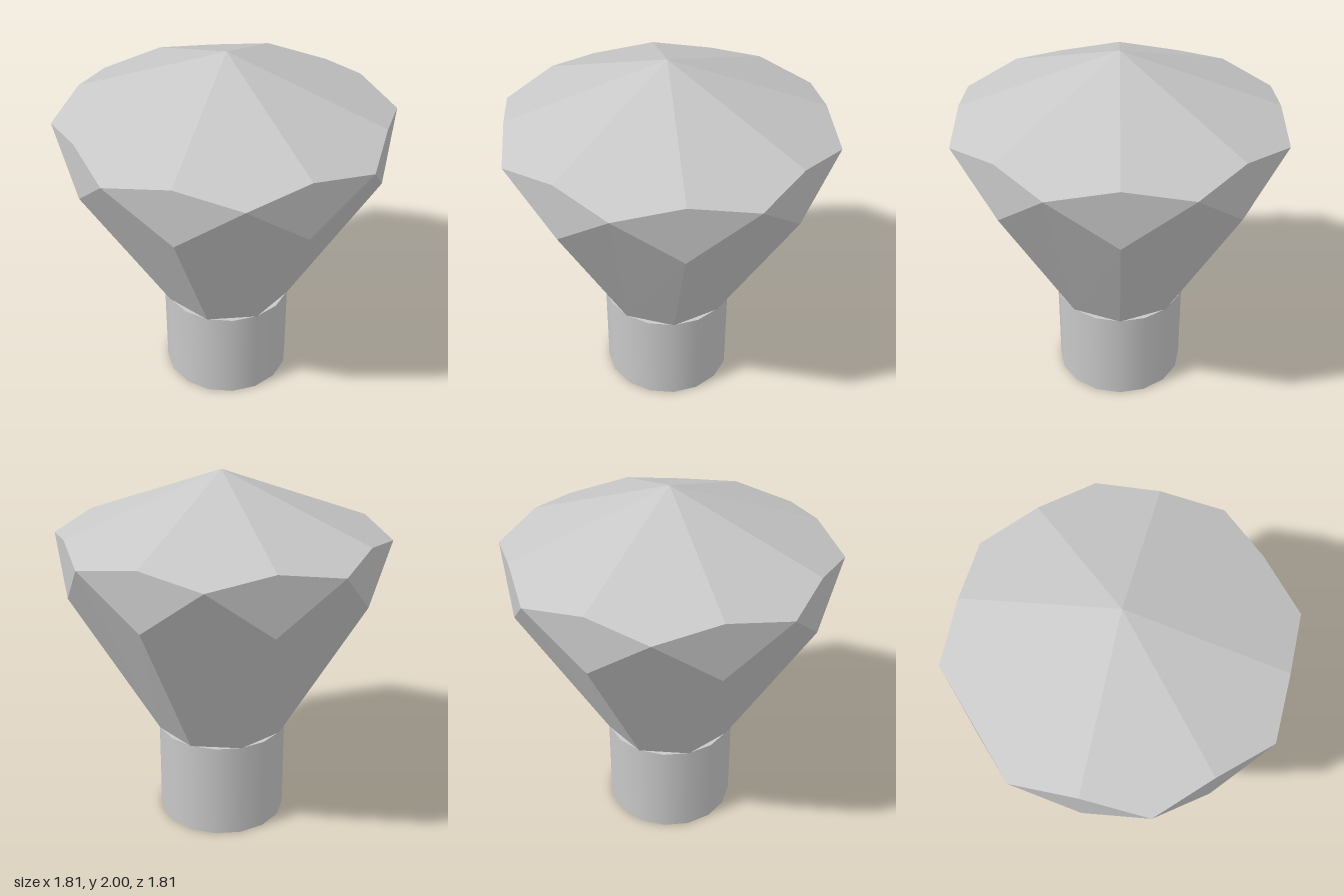
import * as THREE from 'three';

const SIDES = 8;
const STEP = (Math.PI * 2) / SIDES;

// Point on a ring; i counts eighths of a turn, half values lie between corners
const ring = (radius, y, i) => [
  radius * Math.sin(i * STEP), y, radius * Math.cos(i * STEP),
];

// Flat-shaded mesh from convex polygons listed counter-clockwise
function facets(name, polygons, material) {
  const positions = [];
  for (const p of polygons) {
    for (let k = 1; k < p.length - 1; k++) positions.push(...p[0], ...p[k], ...p[k + 1]);
  }
  const geometry = new THREE.BufferGeometry();
  geometry.setAttribute('position', new THREE.Float32BufferAttribute(positions, 3));
  geometry.computeVertexNormals();
  const mesh = new THREE.Mesh(geometry, material);
  mesh.name = name;
  return mesh;
}

export function createModel() {
  const group = new THREE.Group();
  group.name = 'facetedKnob';
  const grey = new THREE.MeshStandardMaterial({ color: 0xc8c8c8 });
  grey.name = 'light grey';

  const apex = [0, 2, 0];
  const corner = (i) => ring(0.905, 1.64, i);
  const crest = (i) => ring(0.836, 1.693, i);
  const notch = (i) => ring(0.836, 1.378, i);
  const foot = (i) => ring(0.365, 0.545, i);

  const crown = [], girdle = [], pavilion = [], base = [];
  for (let i = 0; i < SIDES; i++) {
    const a = i - 0.5, b = i + 0.5;
    // Shallow top facet, centred on a corner
    crown.push([apex, crest(a), corner(i), crest(b)]);
    // Upright kite between two corners
    girdle.push([notch(b), corner(i + 1), crest(b), corner(i)]);
    // Long tapering facet down to the shaft
    pavilion.push([foot(a), foot(b), notch(b), corner(i), notch(a)]);
    base.push(foot(-b));
  }
  group.add(
    facets('crown', crown, grey),
    facets('girdle', girdle, grey),
    facets('taper', pavilion, grey),
    facets('gemBase', [base], grey),
  );

  // Smooth round shaft
  const shaft = new THREE.Mesh(new THREE.CylinderGeometry(0.363, 0.363, 0.545, 16), grey);
  shaft.name = 'shaft';
  shaft.position.y = 0.2725;
  group.add(shaft);

  return group;
}
